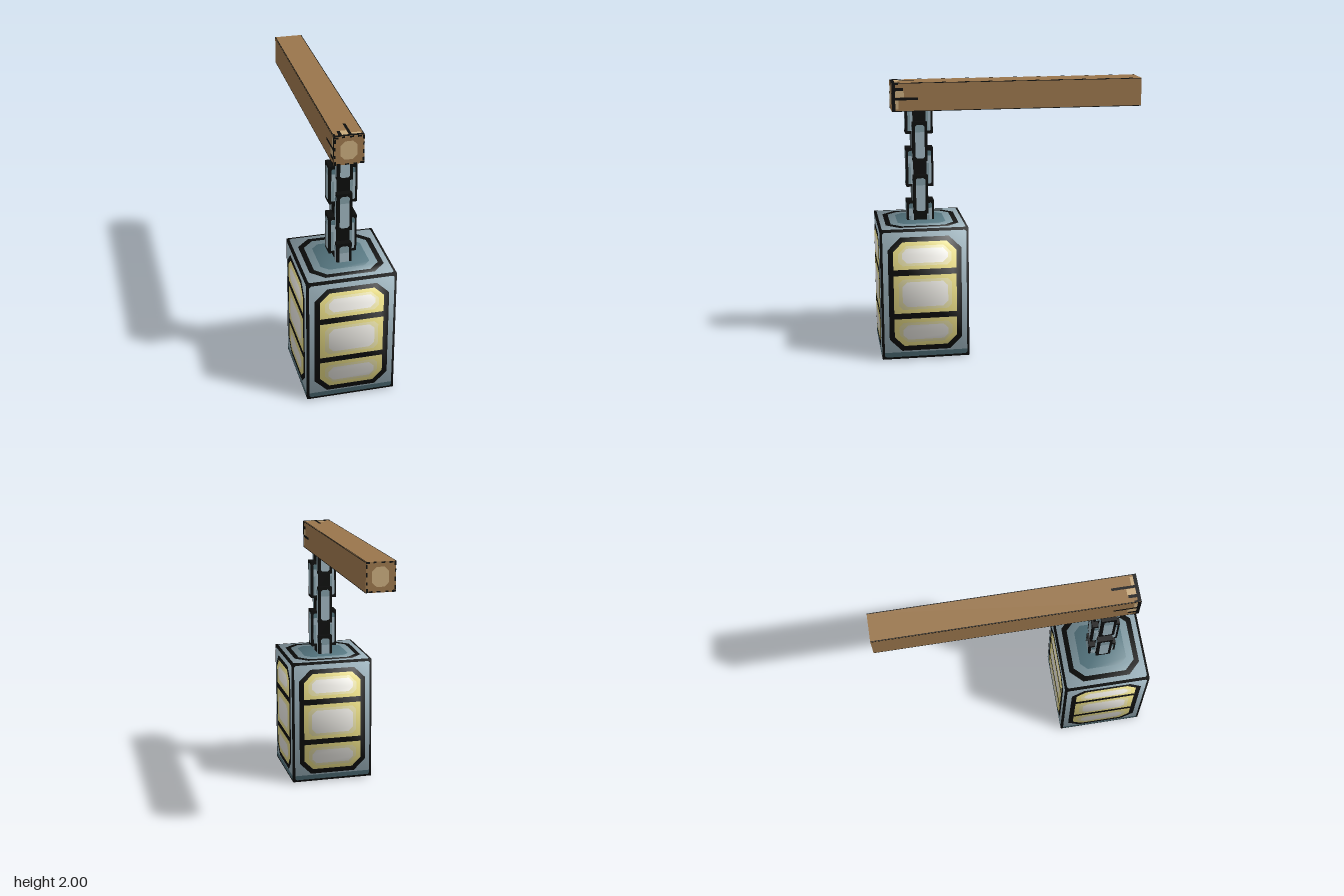
import * as THREE from 'three';
import { mergeGeometries } from 'three/addons/utils/BufferGeometryUtils.js';

const colours = {
  outline: 0x0c0d0c, wood: 0x99754b, woodLight: 0xc6a97c,
  steelLight: 0x9cb2bc, steel: 0x7f99a2, steelDark: 0x557680,
  glassRim: 0xe8dc86, glass: 0xe2dba6, glassCore: 0xe6e4de,
};
const mats = {};
const LAYER = 0.0016; // spacing of painted layers

// Flat rectangle with optional cut corners (top and bottom cut sizes)
function panel(x0, x1, y0, y1, cutTop = 0, cutBottom = cutTop) {
  const a = cutTop, b = cutBottom;
  const pts = [[x0 + b, y0], [x1 - b, y0], [x1, y0 + b], [x1, y1 - a],
    [x1 - a, y1], [x0 + a, y1], [x0, y1 - a], [x0, y0 + b]];
  const unique = pts.filter((p, i) => {
    const q = pts[(i + 1) % pts.length];
    return Math.hypot(p[0] - q[0], p[1] - q[1]) > 1e-6;
  });
  return new THREE.ShapeGeometry(new THREE.Shape(unique.map((p) => new THREE.Vector2(...p))));
}

const turnY = (i) => new THREE.Matrix4().makeRotationY(i * Math.PI / 2);
const turnX = (s) => new THREE.Matrix4().makeRotationX(s * Math.PI / 2);
const turnZ = (i) => new THREE.Matrix4().makeRotationZ(i * Math.PI / 2);

// Collects plates by material, then makes one mesh per colour
function painter(dist) {
  const bins = {};
  return {
    add(colour, layer, matrix, geo, d = dist) {
      geo.translate(0, 0, d + layer * LAYER).applyMatrix4(matrix);
      (bins[colour] ??= []).push(geo);
    },
    build(group, name, edit) {
      for (const [colour, list] of Object.entries(bins)) {
        const geo = mergeGeometries(list);
        if (edit) edit(geo);
        addMesh(group, `${name} ${colour}`, geo, colour);
      }
    },
  };
}

function addMesh(group, name, geo, colour) {
  const mesh = new THREE.Mesh(geo, mats[colour]);
  mesh.name = name;
  group.add(mesh);
  return mesh;
}

function makeLantern() {
  const g = new THREE.Group();
  g.name = 'lantern';
  const w = 0.318, h = 0.484;
  // Softly shaded box: normals blend towards the corners
  const soften = (geo) => {
    const p = geo.attributes.position, v = new THREE.Vector3();
    for (let i = 0; i < p.count; i++) {
      v.set(p.getX(i) / w, p.getY(i) / h, p.getZ(i) / w).normalize();
      geo.attributes.normal.setXYZ(i, v.x, v.y, v.z);
    }
  };
  const body = new THREE.BoxGeometry(2 * w, 2 * h, 2 * w);
  soften(body);
  addMesh(g, 'lantern body', body, 'outline');

  const paint = painter(w);
  for (let i = 0; i < 4; i++) {
    const m = turnY(i);
    const add = (c, l, ...r) => paint.add(c, l, m, panel(...r));
    add('steelLight', 1, -0.302, 0.302, -0.468, 0.468, 0.012);
    add('steelDark', 2, -0.302, 0.302, -0.468, -0.433, 0, 0.012);
    add('outline', 3, -0.265, 0.265, -0.422, 0.43, 0.09);
    // Three panes: bottom, middle, top, with their corner cuts
    const panes = [[-0.385, -0.18, 0, 0.07], [-0.138, 0.145, 0, 0], [0.19, 0.395, 0.07, 0]];
    for (const [y0, y1, t, b] of panes) {
      add('glassRim', 4, -0.228, 0.228, y0, y1, t, b);
      add('glass', 5, -0.192, 0.192, y0 + 0.028, y1 - 0.028, 0.03 + t * 0.4, 0.03 + b * 0.4);
      add('glassCore', 6, -0.165, 0.165, y0 + 0.048, y1 - 0.048, 0.035);
    }
  }
  // Lid and base plates
  for (const s of [-1, 1]) {
    const m = turnX(s);
    const add = (c, l, ...r) => paint.add(c, l, m, panel(...r), h);
    const square = (c, l, r, cut) => add(c, l, -r, r, -r, r, cut);
    square('steelLight', 1, 0.302, 0.012);
    square('outline', 2, 0.265, 0.09);
    square('steel', 3, 0.228, 0.075);
    square('steelDark', 4, 0.175, 0.05);
    if (s > 0) {
      square('outline', 5, 0.088, 0.02);
      square('steel', 6, 0.052, 0);
    }
  }
  paint.build(g, 'lantern panel', soften);
  g.position.set(0, 0.492, 0.66);
  return g;
}

// Solid link, wide along x, with painted bars on all four sides
function makeLink(i) {
  const g = new THREE.Group();
  g.name = `chain link ${i + 1}`;
  const w = 0.099, d = 0.054, h = 0.143;
  addMesh(g, 'link body', new THREE.BoxGeometry(2 * w, 2 * h, 2 * d), 'outline');
  const paint = painter(0);
  for (const k of [0, 2]) {
    for (const s of [-1, 1]) {
      const x0 = s > 0 ? 0.048 : -0.084, x1 = x0 + 0.036;
      paint.add('steelLight', 1, turnY(k), panel(x0, x1, -0.122, 0.122, 0.008), d);
      paint.add('steel', 2, turnY(k), panel(x0, x0 + 0.018, -0.122, 0.03), d);
      paint.add('steelDark', 3, turnY(k), panel(x0, x1, 0.085, 0.122, 0.008, 0), d);
    }
    paint.add('steelLight', 1, turnY(k + 1), panel(-0.034, 0.034, -0.122, 0.122, 0.012), w);
    paint.add('steel', 2, turnY(k + 1), panel(-0.034, 0.034, 0.07, 0.122, 0.012, 0), w);
  }
  paint.build(g, 'link bar');
  g.rotation.y = i % 2 ? 0 : Math.PI / 2;
  g.position.set(0, 0.985 + i * 0.195, 0.66);
  return g;
}

function makeBeam() {
  const g = new THREE.Group();
  g.name = 'beam';
  const r = 0.103, front = 0.857, back = -0.977;
  const mid = (front + back) / 2;
  addMesh(g, 'beam timber',
    new THREE.BoxGeometry(2 * r, 2 * r, front - back).translate(0, 0, mid), 'wood');
  const paint = painter(r);
  // Worn front edge, cracks and chips, repeated round the four sides
  for (let i = 0; i < 4; i++) {
    const m = turnZ(i).multiply(turnX(-1));
    const add = (c, l, x0, x1, z0, z1) => paint.add(c, l, m, panel(x0, x1, -z1, -z0));
    add('outline', 1, -r, r, 0.832, front);
    for (const s of [-1, 1]) add('outline', 1, s * (r - 0.0025) - 0.0025, s * (r - 0.0025) + 0.0025, back, front);
    add('woodLight', 1, -0.045, 0.0, 0.77, 0.832);
    add('woodLight', 1, 0.022, 0.085, 0.81, 0.832);
    add('outline', 2, 0.002, 0.021, 0.67, 0.84);
    add('outline', 2, -0.068, -0.045, 0.775, 0.84);
    add('outline', 2, -r, -0.09, 0.81, 0.84);
  }
  // End grain with a pale heart and a broken dark rim
  for (const [k, d] of [[0, front], [2, -back]]) {
    const m = turnY(k);
    paint.add('woodLight', 1, m, panel(-0.06, 0.055, -0.065, 0.068, 0.03), d);
    for (let i = 0; i < 4; i++) {
      const mm = m.clone().multiply(turnZ(i));
      for (const [x0, x1, t] of [[-0.103, -0.075, 0.014], [-0.052, -0.03, 0.01], [0.002, 0.03, 0.01], [0.058, 0.085, 0.012]]) {
        paint.add('outline', 1, mm, panel(x0, x1, r - t, r), d);
      }
    }
  }
  paint.build(g, 'beam marking');
  g.position.y = 1.895;
  return g;
}

export function createModel() {
  for (const [name, color] of Object.entries(colours)) {
    mats[name] = new THREE.MeshStandardMaterial({ color });
    mats[name].name = name;
  }
  const model = new THREE.Group();
  model.name = 'hanging lantern';
  const chain = new THREE.Group();
  chain.name = 'chain';
  for (let i = 0; i < 5; i++) chain.add(makeLink(i));
  model.add(makeBeam(), chain, makeLantern());
  return model;
}
